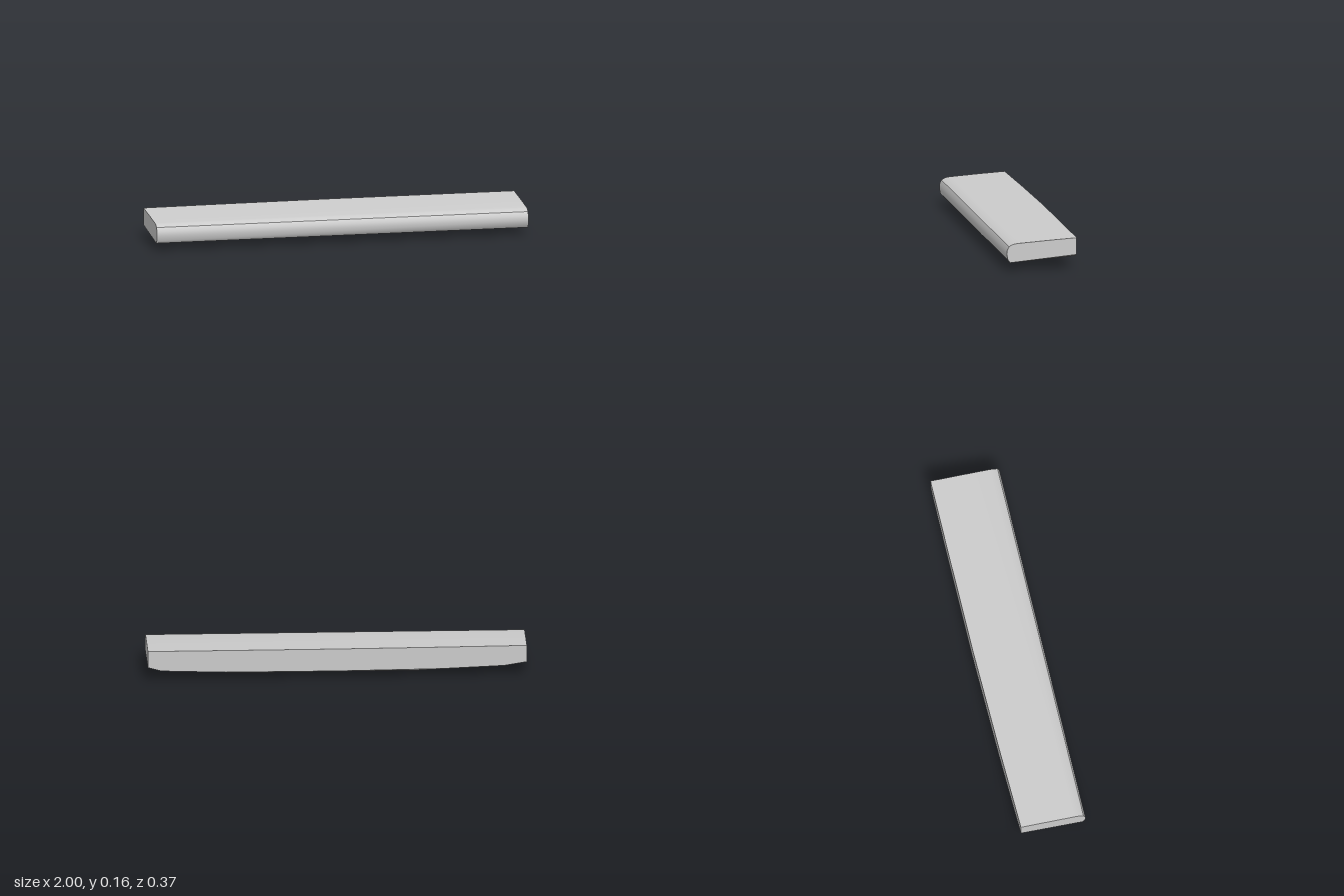
import * as THREE from 'three';
import { ConvexGeometry } from 'three/addons/geometries/ConvexGeometry.js';
import { toCreasedNormals } from 'three/addons/utils/BufferGeometryUtils.js';

// Rounded front edge and top of the end section, as [z, y], from the lower front corner up and back
const NOSE = [
  [0.17, 0.042], [0.181, 0.056], [0.187, 0.084], [0.186, 0.106],
  [0.176, 0.128], [0.155, 0.14], [0.13, 0.144], [-0.04, 0.156],
];

// Back wall, as [x, z, bottom y]: bowed slightly and set in at the right end
const BACK = [
  [1, -0.187, 0.075], [0.93, -0.187, 0.055], [0.6, -0.187, 0.044], [0, -0.185, 0.042],
  [-0.55, -0.175, 0.044], [-0.88, -0.166, 0.054], [-1, -0.163, 0.072],
];

// Shallow belly under the slab, as [half length in x, z, y]
const BELLY = [[0.25, 0.03, 0.012], [0.42, -0.06, 0], [0.42, -0.09, 0.006]];

export function createModel() {
  const points = [];
  const add = (x, y, z) => points.push(new THREE.Vector3(x, y, z));

  for (const side of [-1, 1]) {
    for (const [z, y] of NOSE) add(side, y, z);
    for (const [x, z, y] of BELLY) add(side * x, y, z);
  }
  for (const [x, z, y] of BACK) {
    add(x, y, z);
    add(x, 0.153 - z * 0.064, z); // top edge follows the slope of the upper face
  }

  // One convex slab, with the nose smoothed and the other edges kept sharp
  const slab = new THREE.Mesh(
    toCreasedNormals(new ConvexGeometry(points), 0.6),
    new THREE.MeshStandardMaterial({ color: 0xcccccc }),
  );
  slab.name = 'slab';

  const model = new THREE.Group();
  model.name = 'taperedSlab';
  model.add(slab);
  return model;
}
